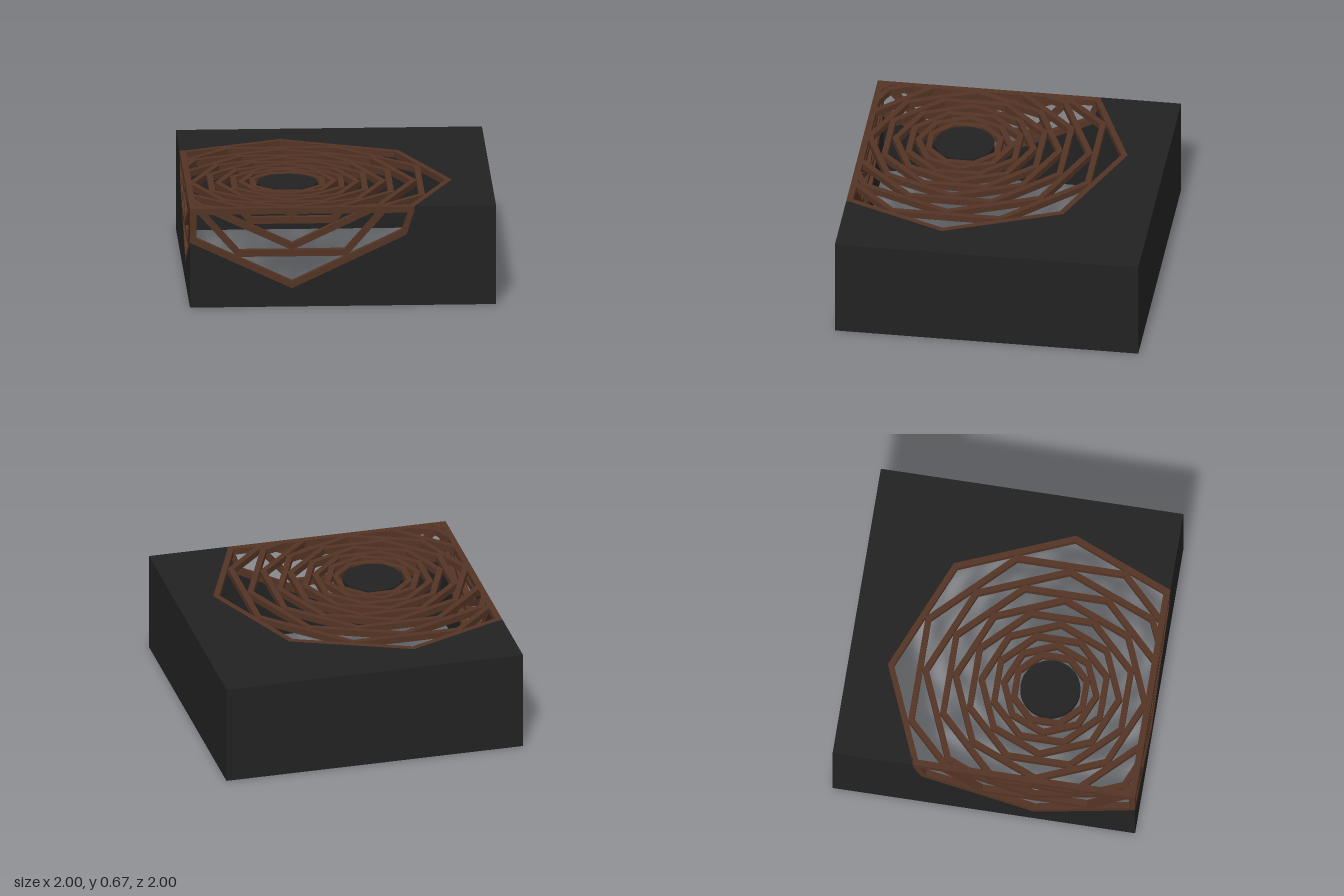
import * as THREE from 'three';

const H = 0.667;          // box height
const T = 0.042;          // panel thickness
const C = 1 / 3;          // lattice centre is at x = -C, z = C
const RADII = [1.075, 0.955, 0.845, 0.741, 0.647, 0.562, 0.476, 0.399, 0.326, 0.266];
const BAR = 0.042;        // lattice bar width, measured at the corners

const black = new THREE.MeshStandardMaterial({ color: 0x222222 });
black.name = 'black shell';
const brown = new THREE.MeshStandardMaterial({ color: 0x533424 });
brown.name = 'brown wood';

// Keep the part of a convex polygon where axis value * sign <= limit
function clip(points, axis, sign, limit) {
  const out = [];
  points.forEach((a, i) => {
    const b = points[(i + 1) % points.length];
    const da = a[axis] * sign - limit, db = b[axis] * sign - limit;
    if (da <= 0) out.push(a);
    if (da * db < 0) {
      const t = da / (da - db);
      out.push([a[0] + (b[0] - a[0]) * t, a[1] + (b[1] - a[1]) * t]);
    }
  });
  return out;
}

// Flat polygon extruded by the panel thickness
function plate(points, material, name) {
  const shape = new THREE.Shape(points.map(([x, y]) => new THREE.Vector2(x, y)));
  const geometry = new THREE.ExtrudeGeometry(shape, { depth: T, bevelEnabled: false });
  const mesh = new THREE.Mesh(geometry, material);
  mesh.name = name;
  return mesh;
}

// Eight mitred bars of one octagon ring, trimmed to the panel
function ring(index, cy, sx, sy, top, flip, parent) {
  const start = index % 2 ? Math.PI / 8 : 0;
  const corner = (r, k) => {
    const a = start + k * Math.PI / 4;
    return [-C + r * sx * Math.cos(a), cy + r * sy * Math.sin(a)];
  };
  const outer = RADII[index], inner = outer - BAR;
  for (let k = 0; k < 8; k++) {
    let quad = [corner(outer, k), corner(outer, k + 1), corner(inner, k + 1), corner(inner, k)];
    quad = clip(quad, 0, -1, 1);
    quad = clip(quad, 1, 1, top);
    quad = clip(quad, 1, -1, 1);
    if (quad.length < 3) continue;
    parent.add(plate(quad.map(([x, y]) => [x * flip, y]), brown, 'latticeBar'));
  }
}

// Top panel: black corner surround, octagon rings and centre disc
function makeTop() {
  const top = new THREE.Group();
  top.name = 'topPanel';
  top.add(plate([[-1, 1], [1, 1], [1, -1], [0.466, -1], [0.742, -C], [0.427, 0.427],
    [-C, 0.742], [-1, 0.466]], black, 'topSurround'));
  RADII.forEach((r, i) => {
    const g = new THREE.Group();
    g.name = 'topRing';
    // one inner ring stands slightly proud
    g.position.z = i === 8 ? 0.004 : 0;
    ring(i, -C, 1, 1, 1, 1, g);
    top.add(g);
  });
  const disc = new THREE.Mesh(new THREE.CylinderGeometry(0.196, 0.196, T, 48), black);
  disc.name = 'centreDisc';
  disc.rotation.x = Math.PI / 2;
  disc.position.set(-C, -C, T / 2);
  top.add(disc);
  top.rotation.x = -Math.PI / 2;
  top.position.y = H - T;
  return top;
}

// Side wall with the lattice continuing down over it
function makeLatticeWall(name, flip) {
  const wall = new THREE.Group();
  wall.name = name;
  const outline = [[-1, 0], [1, 0], [1, H], [0.475, H], [0.414, 0.476], [-C, 0.123], [-1, 0.438]];
  wall.add(plate(outline.map(([x, y]) => [x * flip, y]), black, 'wallSurround'));
  for (let i = 0; i < 5; i++) ring(i, 1.327, 0.983, 1.12, H, flip, wall);
  return wall;
}

function box(w, h, d, x, y, z, material, name) {
  const mesh = new THREE.Mesh(new THREE.BoxGeometry(w, h, d), material);
  mesh.position.set(x, y, z);
  mesh.name = name;
  return mesh;
}

export function createModel() {
  const model = new THREE.Group();
  model.name = 'latticeBox';
  model.add(makeTop());

  const front = makeLatticeWall('frontWall', 1);
  front.position.z = 1 - T;
  const side = makeLatticeWall('rightWall', -1);
  side.rotation.y = -Math.PI / 2;
  side.position.x = -1 + T;
  model.add(front, side);

  // Plain walls; the underside stays open
  model.add(box(2, H, T, 0, H / 2, -1 + T / 2, black, 'backWall'));
  model.add(box(T, H, 2, 1 - T / 2, H / 2, 0, black, 'leftWall'));

  // Wooden edge frame where the lattice turns the corners
  const len = 1.47, post = H - 0.438;
  model.add(box(len, T, T, -1 + len / 2, H - T / 2, 1 - T / 2, brown, 'frontEdge'));
  model.add(box(T, T, len, -1 + T / 2, H - T / 2, 1 - len / 2, brown, 'rightEdge'));
  model.add(box(T, post, T, -1 + T / 2, H - post / 2, 1 - T / 2, brown, 'cornerPost'));
  return model;
}
